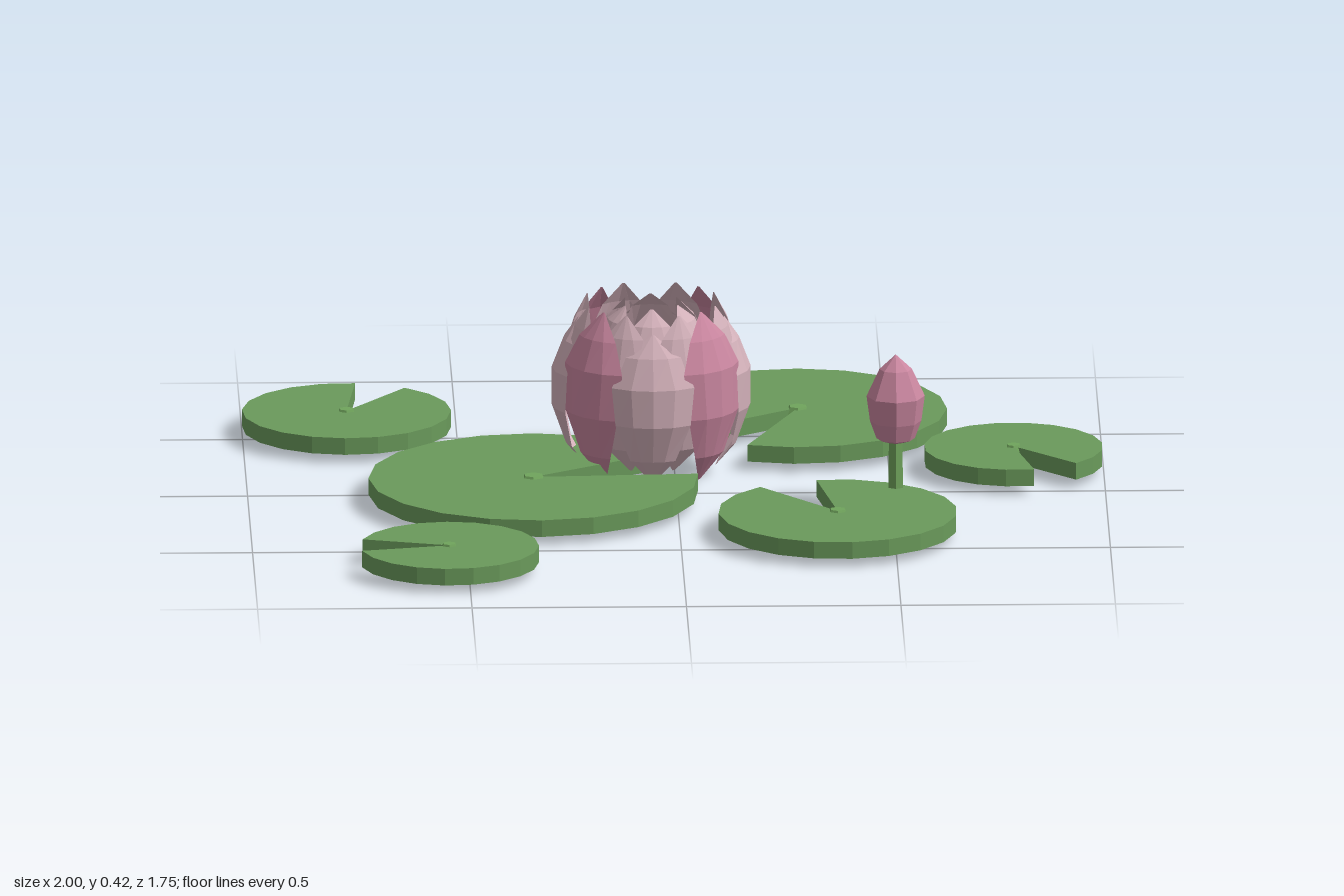
import * as THREE from 'three';

const mat = (name, color, extra = {}) => {
  const m = new THREE.MeshStandardMaterial({ color, flatShading: true, ...extra });
  m.name = name;
  return m;
};

// Flat disc with a wedge cut out between two angles (degrees, seen from above)
function padGeometry(radius, from, to) {
  const shape = new THREE.Shape();
  const sides = 18;
  shape.moveTo(0, 0);
  for (let i = 0; i <= sides; i++) {
    const a = THREE.MathUtils.degToRad(to + (360 - (to - from)) * i / sides);
    shape.lineTo(radius * Math.cos(a), radius * Math.sin(a));
  }
  shape.closePath();
  const g = new THREE.ExtrudeGeometry(shape, { depth: 0.04, bevelEnabled: false });
  return g.rotateX(-Math.PI / 2);
}

// Cupped petal: rows of [height, radius, half width], wrapped around the flower axis
function petalGeometry(rows) {
  const pos = [], idx = [], cols = 4;
  for (const [y, r, w] of rows) {
    for (let j = 0; j <= cols; j++) {
      const s = j / cols * 2 - 1;
      const a = s * w / r;
      const rr = r * (1 - 0.05 * s * s * Math.min(1, w / 0.08));
      pos.push(rr * Math.sin(a), y, rr * Math.cos(a));
    }
  }
  for (let i = 0; i < rows.length - 1; i++) {
    for (let j = 0; j < cols; j++) {
      const a = i * (cols + 1) + j, b = a + cols + 1;
      idx.push(a, a + 1, b + 1, a, b + 1, b);
    }
  }
  const g = new THREE.BufferGeometry();
  g.setAttribute('position', new THREE.Float32BufferAttribute(pos, 3));
  g.setIndex(idx);
  g.computeVertexNormals();
  return g;
}

export function createModel() {
  const leaf = mat('leaf green', 0x6a9a5b);
  const stemGreen = mat('stem green', 0x70a45c);
  const pink = mat('petal pink', 0xc9869f, { side: THREE.DoubleSide });
  const pale = mat('petal pale pink', 0xd2b0b9, { side: THREE.DoubleSide });

  const model = new THREE.Group();
  const add = (parent, name, geometry, material, x = 0, y = 0, z = 0) => {
    const m = new THREE.Mesh(geometry, material);
    m.name = name;
    m.position.set(x, y, z);
    parent.add(m);
    return m;
  };

  // Floating pads: x, z, radius, notch start and end angle
  const pads = [
    [-0.335, 0.065, 0.385, 3, 34],
    [0.295, -0.53, 0.348, 216, 249],
    [-0.757, -0.53, 0.244, 55, 84],
    [0.79, -0.18, 0.209, 282, 313],
    [0.367, 0.382, 0.279, 99, 129],
    [-0.545, 0.665, 0.209, 164, 192],
  ];
  for (const [x, z, r, from, to] of pads) {
    const pad = new THREE.Group();
    pad.name = 'lilyPad';
    pad.position.set(x, 0, z);
    add(pad, 'padDisc', padGeometry(r, from, to), leaf, 0, 0.02, 0);
    const k = 0.014 + r * 0.07;
    add(pad, 'padHub', new THREE.CylinderGeometry(k * 0.55, k, 0.03, 6), stemGreen, 0, 0.05, 0);
    model.add(pad);
  }

  // Flower: rings of petals around a green core
  const flower = new THREE.Group();
  flower.name = 'flower';
  flower.position.set(-0.055, 0, -0.18);
  model.add(flower);

  const outerPale = petalGeometry([
    [0.02, 0.15, 0.003], [0.08, 0.2, 0.055], [0.17, 0.232, 0.095],
    [0.26, 0.232, 0.105], [0.33, 0.205, 0.07], [0.38, 0.17, 0.003]]);
  const outerPink = petalGeometry([
    [0.015, 0.155, 0.003], [0.08, 0.2, 0.05], [0.18, 0.23, 0.09],
    [0.29, 0.226, 0.1], [0.36, 0.198, 0.062], [0.42, 0.16, 0.003]]);
  const middle = petalGeometry([
    [0.04, 0.13, 0.003], [0.1, 0.18, 0.05], [0.2, 0.21, 0.08],
    [0.3, 0.207, 0.085], [0.37, 0.185, 0.05], [0.42, 0.16, 0.003]]);
  const inner = petalGeometry([
    [0.06, 0.07, 0.003], [0.14, 0.12, 0.05], [0.24, 0.145, 0.08],
    [0.32, 0.135, 0.075], [0.38, 0.105, 0.045], [0.415, 0.07, 0.003]]);

  const ring = (name, geometry, material, count, offset) => {
    for (let i = 0; i < count; i++) {
      add(flower, name, geometry, material).rotation.y = offset + i * 2 * Math.PI / count;
    }
  };
  ring('outerPalePetal', outerPale, pale, 4, 0);
  ring('outerPinkPetal', outerPink, pink, 4, Math.PI / 4);
  ring('middlePetal', middle, pale, 8, Math.PI / 8);
  ring('innerPetal', inner, pale, 6, 0);
  add(flower, 'flowerCore', new THREE.IcosahedronGeometry(0.058, 1), stemGreen, 0, 0.315, 0);

  // Closed bud on a stem
  const bud = new THREE.Group();
  bud.name = 'bud';
  bud.position.set(0.507, 0, 0.172);
  model.add(bud);
  add(bud, 'budStem', new THREE.CylinderGeometry(0.018, 0.02, 0.18, 6), stemGreen, 0, 0.09, 0);
  const profile = [[0, 0.162], [0.045, 0.178], [0.06, 0.22], [0.068, 0.28], [0.038, 0.345], [0, 0.38]]
    .map(([r, y]) => new THREE.Vector2(r, y));
  add(bud, 'budPetals', new THREE.LatheGeometry(profile, 8), pink);

  return model;
}
